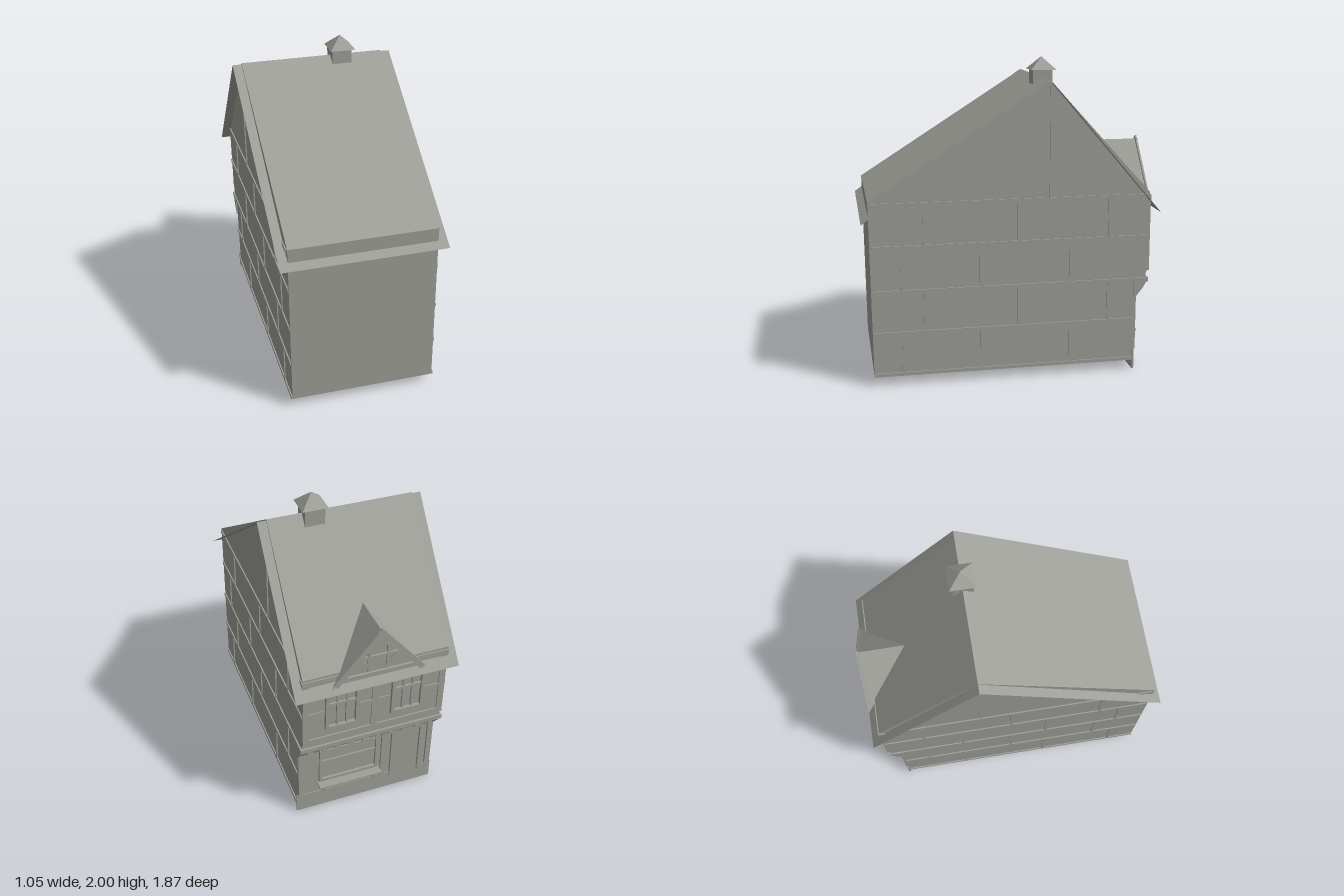
import * as THREE from 'three';

const grey = new THREE.MeshStandardMaterial({ color: 0xa0a09a, side: THREE.DoubleSide });
grey.name = 'stone grey';

export function createModel() {
  const house = new THREE.Group();
  house.name = 'house';

  // Every part leans slightly sideways with height
  function add(name, geometry) {
    const p = geometry.attributes.position;
    for (let i = 0; i < p.count; i++) p.setX(i, p.getX(i) + 0.02 - 0.0165 * p.getY(i));
    geometry.computeVertexNormals();
    const mesh = new THREE.Mesh(geometry, grey);
    mesh.name = name;
    house.add(mesh);
  }
  // Box given by its limits
  function bar(name, x0, x1, y0, y1, z0, z1) {
    add(name, new THREE.BoxGeometry(x1 - x0, y1 - y0, z1 - z0)
      .translate((x0 + x1) / 2, (y0 + y1) / 2, (z0 + z1) / 2));
  }
  // Board between two points of the facade plane
  function board(name, x0, y0, x1, y1, width, z, depth) {
    add(name, new THREE.BoxGeometry(Math.hypot(x1 - x0, y1 - y0), width, depth)
      .rotateZ(Math.atan2(y1 - y0, x1 - x0)).translate((x0 + x1) / 2, (y0 + y1) / 2, z));
  }
  function triangles(name, coords) {
    const g = new THREE.BufferGeometry();
    g.setAttribute('position', new THREE.Float32BufferAttribute(coords, 3));
    add(name, g);
  }
  // Sheet swept across x along a (z, y) profile
  function sheet(name, profile, half) {
    const c = [];
    for (let i = 0; i < profile.length - 1; i++) {
      const [z0, y0] = profile[i], [z1, y1] = profile[i + 1];
      c.push(-half, y0, z0, half, y0, z0, half, y1, z1, -half, y0, z0, half, y1, z1, -half, y1, z1);
    }
    triangles(name, c);
  }

  // Walls and raised roof field, open underneath
  const W = 0.46;
  const profile = [[0.873, 0.06], [0.885, 1.16], [-0.237, 1.872], [-0.882, 1.165], [-0.88, 0.66],
    [-0.868, 0.64], [-0.868, 0.58], [-0.795, 0.48], [-0.795, 0.06]];
  sheet('wallsAndRoofField', profile, W);
  const outline = new THREE.Shape(profile.map(([z, y]) => new THREE.Vector2(z, y)));
  for (const s of [-1, 1]) {
    const g = new THREE.ShapeGeometry(outline).rotateY(-Math.PI / 2);
    if (s > 0) {
      const a = g.index.array;
      for (let i = 0; i < a.length; i += 3) [a[i], a[i + 1]] = [a[i + 1], a[i]];
    }
    add('sideWall', g.translate(s * W, 0, 0));
  }

  // Overhanging roof sheet
  sheet('roofSheet', [[0.93, 1.04], [-0.237, 1.864], [-0.938, 1.045]], 0.517);

  // Raised joints of the large staggered wall blocks
  const rows = [0.07, 0.335, 0.6, 0.88, 1.145];
  for (const s of [-1, 1]) {
    const side = (name, y0, y1, z0, z1) =>
      bar(name, Math.min(s * W, s * 0.468), Math.max(s * W, s * 0.468), y0, y1, z0, z1);
    rows.forEach((y, i) => {
      const back = y < 0.5 ? -0.79 : y < 0.65 ? -0.865 : -0.878;
      side('wallCourse', y - 0.011, y + 0.011, back, 0.872);
      if (i === rows.length - 1) return;
      const joints = i % 2 ? [-0.62, -0.04, 0.55] : [-0.37, 0.2, 0.69];
      for (const z of joints) side('wallJoint', y + 0.011, rows[i + 1] - 0.011, z - 0.008, z + 0.008);
    });
    side('gablePost', 1.156, 1.85, -0.241, -0.233);
  }

  // Chimney with pyramid cap
  bar('chimney', 0.118, 0.243, 1.7, 1.92, -0.297, -0.172);
  add('chimneyCap', new THREE.ConeGeometry(0.081 * Math.SQRT2, 0.08, 4).toNonIndexed()
    .rotateY(Math.PI / 4).translate(0.185, 1.96, -0.237));

  // Ground floor: plinth, timber frame, shop window with shelf, door
  bar('plinth', -0.467, 0.467, 0, 0.13, -0.8, -0.788);
  for (const x of [-0.44, -0.12, 0.44]) bar('lowerPost', x - 0.018, x + 0.018, 0.13, 0.5, -0.808, -0.79);
  bar('lowerBeam', -W, W, 0.505, 0.53, -0.815, -0.79);
  function frame(name, x0, x1, y0, y1, z, t, sill = true) {
    bar(name, x0, x0 + t, y0, y1, z - 0.016, z + 0.005);
    bar(name, x1 - t, x1, y0, y1, z - 0.016, z + 0.005);
    bar(name, x0 + t, x1 - t, y1 - t, y1, z - 0.016, z + 0.005);
    if (sill) bar(name, x0 + t, x1 - t, y0, y0 + t, z - 0.016, z + 0.005);
  }
  frame('shopWindowFrame', -0.08, 0.32, 0.22, 0.49, -0.795, 0.02);
  bar('shopWindowTransom', -0.06, 0.3, 0.38, 0.392, -0.805, -0.793);
  bar('shopShelf', -0.09, 0.33, 0.203, 0.215, -0.86, -0.79);
  for (const x of [-0.05, 0.29]) bar('shelfBracket', x - 0.008, x + 0.008, 0.15, 0.203, -0.83, -0.79);
  frame('doorFrame', -0.39, -0.17, 0.1, 0.5, -0.795, 0.022, false);
  bar('doorLeaf', -0.365, -0.195, 0.1, 0.475, -0.801, -0.79);

  // Overhanging storey: joist ends, jetty beam and corner brackets
  for (let i = 0; i < 10; i++) {
    const x = -0.4 + i * 0.089;
    bar('joistEnd', x - 0.016, x + 0.016, 0.545, 0.585, -0.868, -0.79);
  }
  bar('jettyBeam', -0.47, 0.47, 0.582, 0.612, -0.882, -0.785);
  const bracket = new THREE.Shape([[-0.79, 0.47], [-0.79, 0.585], [-0.872, 0.585], [-0.85, 0.545]]
    .map(([z, y]) => new THREE.Vector2(z, y)));
  for (const x of [0.468, -0.428]) {
    add('cornerBracket', new THREE.ExtrudeGeometry(bracket, { depth: 0.04, bevelEnabled: false })
      .rotateY(-Math.PI / 2).translate(x, 0, 0));
  }

  // Upper floor timber frame and windows
  bar('upperSillBeam', -W, W, 0.655, 0.69, -0.89, -0.87);
  bar('upperTopBeam', -0.465, 0.465, 1.11, 1.15, -0.89, -0.87);
  for (const x of [-0.44, 0, 0.44]) bar('upperPost', x - 0.02, x + 0.02, 0.69, 1.11, -0.889, -0.87);
  for (const s of [-1, 1]) {
    const c = s * 0.212;
    frame('windowFrame', c - 0.107, c + 0.107, 0.75, 1.075, -0.885, 0.022);
    bar('windowTransom', c - 0.085, c + 0.085, 0.93, 0.946, -0.895, -0.878);
    for (const d of [-0.03, 0.03]) bar('windowMullion', c + d - 0.006, c + d + 0.006, 0.77, 1.055, -0.893, -0.878);
    for (const d of [-0.17, 0.17]) bar('midRail', c + d - 0.055, c + d + 0.055, 0.87, 0.895, -0.888, -0.87);
  }

  // Dormer: face, roof, timbers and crossed barge boards
  triangles('dormerFace', [0.27, 1.09, -0.9, -0.27, 1.09, -0.9, 0, 1.42, -0.9]);
  for (const s of [-1, 1]) {
    triangles('dormerRoof', [0, 1.435, -0.62, 0, 1.435, -0.935, s * 0.295, 1.09, -0.935]);
    board('bargeBoard', -s * 0.012, 1.445, s * 0.275, 1.105, 0.036, -0.93, 0.012);
    board('dormerStrut', s * 0.04, 1.15, s * 0.12, 1.24, 0.018, -0.904, 0.012);
    bar('dormerPost', s * 0.06 - 0.01, s * 0.06 + 0.01, 1.14, 1.32, -0.91, -0.898);
  }
  bar('dormerTieBeam', -0.24, 0.24, 1.105, 1.135, -0.915, -0.895);
  bar('dormerCollar', -0.14, 0.14, 1.235, 1.255, -0.912, -0.895);

  return house;
}
